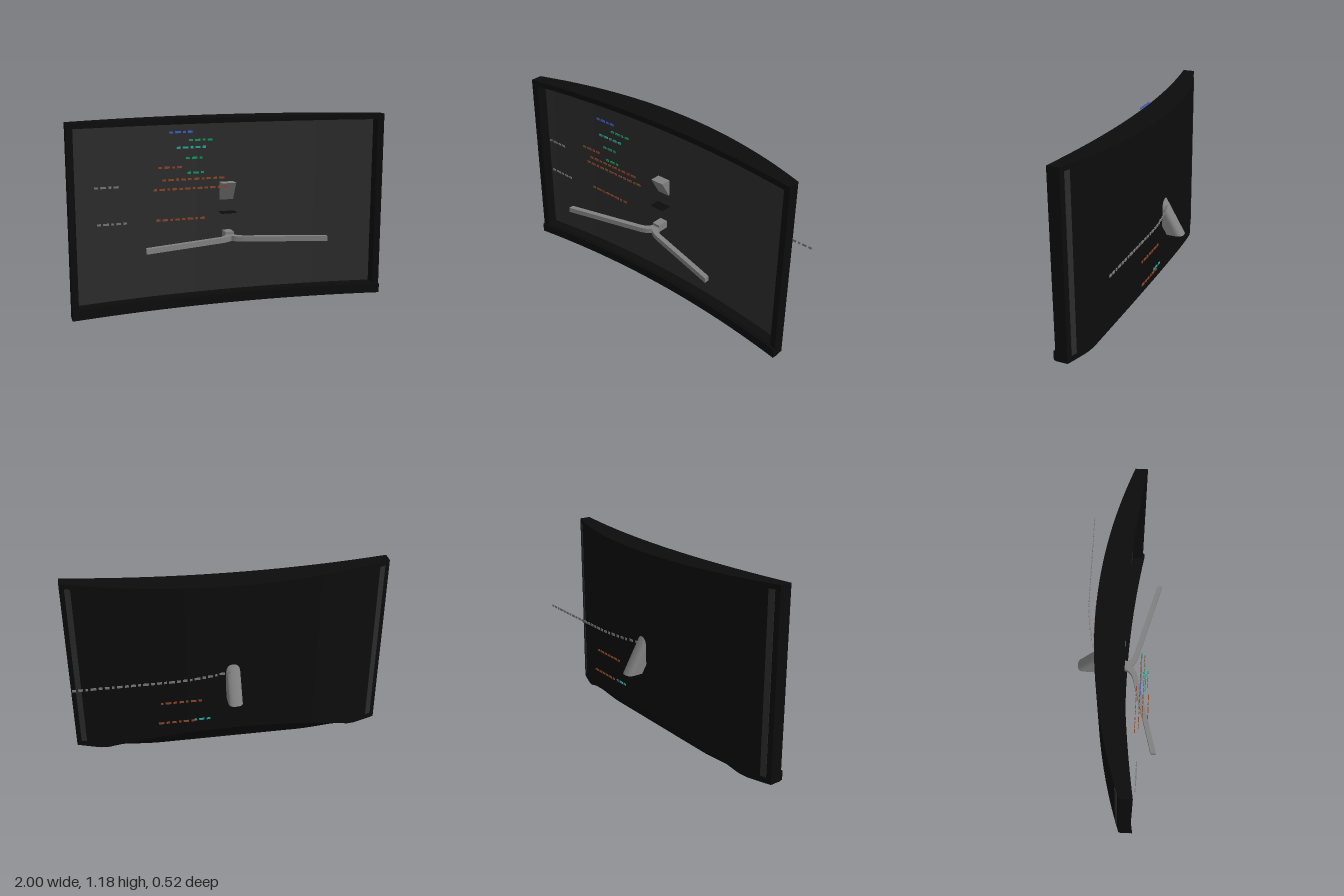
import * as THREE from 'three';

// Depth of the curved front and back at a given x
const front = (x) => 0.04 + 0.085 * x * x;
const back = (x) => -0.135 + 0.185 * x * x;
const inset = (x) => front(x) - 0.07;
// Sloping cut along the lower back edge
const cutY = (z) => Math.max(0, (-0.01 - z) * 1.29);

const material = (color) => new THREE.MeshStandardMaterial({ color, side: THREE.DoubleSide });
const black = material(0x0c0c0c);
const dark = material(0x2c2c2c);
const grey = material(0x808080);

function add(group, name, geometry, mat) {
  const mesh = new THREE.Mesh(geometry, mat);
  mesh.name = name;
  group.add(mesh);
  return mesh;
}

// Box bent so that its front and back follow two depth curves
function slab([x0, x1], [y0, y1], zFront, zBack, adjust) {
  const segments = Math.max(1, Math.round((x1 - x0) * 20));
  const g = new THREE.BoxGeometry(x1 - x0, y1 - y0, 1, segments, 1, 1);
  g.translate((x0 + x1) / 2, (y0 + y1) / 2, 0);
  const p = g.attributes.position;
  for (let i = 0; i < p.count; i++) {
    const x = p.getX(i);
    const v = { y: p.getY(i), z: p.getZ(i) > 0 ? zFront(x) : zBack(x), isBack: p.getZ(i) < 0 };
    if (adjust) adjust(v);
    p.setXYZ(i, x, v.y, v.z);
  }
  g.computeVertexNormals();
  return g;
}

// Extrude an outline drawn in x and z downwards from the height top
function extrudeDown(shape, top, depth) {
  const g = new THREE.ExtrudeGeometry(shape, { depth, bevelEnabled: false, curveSegments: 10 });
  return g.rotateX(Math.PI / 2).translate(0, top, 0);
}

function buildScreen() {
  const g = new THREE.Group();
  g.name = 'display';
  // Rear shell with its sloping lower edge
  add(g, 'rearShell', slab([-1, 1], [0, 1.18], inset, back, (v) => {
    if (v.y < 0.01) v.y = cutY(v.z);
  }), black);
  // Bezel bars around the recessed panel
  add(g, 'topBezel', slab([-1, 1], [1.145, 1.18], front, inset), black);
  add(g, 'bottomBezel', slab([-1, 1], [0, 0.07], front, inset, (v) => {
    if (v.isBack && v.y < 0.01) v.z = Math.max(v.z, -0.01);
  }), black);
  add(g, 'chin', slab([-1, 1], [0.004, 0.064], (x) => front(x) + 0.012, (x) => front(x) - 0.01), black);
  for (const s of [-1, 1]) {
    const range = (a, b) => (s > 0 ? [a, b] : [-b, -a]);
    add(g, 'sideBezel', slab(range(0.96, 1), [0.07, 1.145], front, inset), black);
    add(g, 'rearStrip', slab(range(0.935, 0.97), [0.04, 1.15], inset, (x) => back(x) - 0.003), dark);
  }
  add(g, 'panel', slab([-0.962, 0.962], [0.068, 1.147], (x) => inset(x) + 0.003, (x) => inset(x) - 0.003), dark);
  return g;
}

function buildStand() {
  const g = new THREE.Group();
  g.name = 'stand';
  // Leaning neck: square at the front, rounded at the rear
  const neck = new THREE.Shape();
  neck.moveTo(0.045, -0.165);
  neck.lineTo(-0.045, -0.165);
  neck.lineTo(-0.045, -0.225);
  neck.quadraticCurveTo(-0.045, -0.265, 0, -0.265);
  neck.quadraticCurveTo(0.045, -0.265, 0.045, -0.225);
  const neckGeometry = extrudeDown(neck, 0.77, 0.355);
  const p = neckGeometry.attributes.position;
  for (let i = 0; i < p.count; i++) p.setZ(i, p.getZ(i) + (p.getY(i) - 0.415) / 1.74);
  neckGeometry.computeVertexNormals();
  add(g, 'neck', neckGeometry, grey);

  // Forked foot
  const foot = new THREE.Shape();
  foot.moveTo(-0.027, -0.04);
  foot.lineTo(-0.027, 0.035);
  foot.quadraticCurveTo(-0.03, 0.08, -0.09, 0.097);
  foot.lineTo(-0.57, 0.228);
  foot.lineTo(-0.57, 0.26);
  foot.lineTo(-0.08, 0.128);
  foot.quadraticCurveTo(-0.02, 0.11, 0, 0.085);
  foot.quadraticCurveTo(0.02, 0.11, 0.08, 0.128);
  foot.lineTo(0.57, 0.26);
  foot.lineTo(0.57, 0.228);
  foot.lineTo(0.09, 0.097);
  foot.quadraticCurveTo(0.03, 0.08, 0.027, 0.035);
  foot.lineTo(0.027, -0.04);
  add(g, 'foot', extrudeDown(foot, 0.445, 0.032), grey);
  const stem = new THREE.BoxGeometry(0.054, 0.03, 0.085);
  add(g, 'footStem', stem.translate(0, 0.447, 0.005), grey);
  // Thin ledge below the neck
  const ledge = new THREE.BoxGeometry(0.1, 0.003, 0.08);
  add(g, 'ledge', ledge.translate(0, 0.58, 0), black);
  return g;
}

// Broken row of small plain bars along a depth curve
function dashes(group, color, [x0, x1], y, depth, height = 0.014) {
  const mat = material(color);
  const lengths = [0.022, 0.034, 0.016, 0.028];
  let x = x0;
  for (let i = 0; x < x1; i++) {
    const w = lengths[i % lengths.length];
    const bar = add(group, 'dash', new THREE.BoxGeometry(w, height, 0.005), mat);
    bar.position.set(x + w / 2, y, depth(x));
    x += w + 0.014;
  }
}

function buildDashes() {
  const g = new THREE.Group();
  g.name = 'floatingDashes';
  const blue = 0x3a5fcd, teal = 0x26a69a, green = 0x0f9b5f, rust = 0x8a4526, pale = 0x777777;
  const rows = [
    [blue, -0.4, -0.28, 1.11, 0.14], [green, -0.28, -0.14, 1.06, 0.14], [teal, -0.36, -0.2, 1.02, 0.16],
    [green, -0.31, -0.2, 0.96, 0.18], [rust, -0.48, -0.36, 0.91, 0.19], [green, -0.3, -0.2, 0.87, 0.17],
    [rust, -0.45, -0.1, 0.83, 0.16], [rust, -0.5, -0.05, 0.77, 0.14], [rust, -0.48, -0.2, 0.58, 0.12],
    [pale, -0.84, -0.68, 0.58, 0.14], [pale, -0.85, -0.7, 0.8, 0.14],
    [rust, 0.2, 0.45, 0.42, -0.17], [rust, 0.25, 0.45, 0.28, -0.18], [teal, 0.15, 0.25, 0.27, -0.16],
  ];
  for (const [color, x0, x1, y, z] of rows) dashes(g, color, [x0, x1], y, () => z, 0.012);
  // Long row trailing behind the display
  dashes(g, pale, [0.02, 0.97], 0.6, (x) => -0.21 + 0.06 * Math.max(0, 1 - x / 0.4) ** 2);
  return g;
}

export function createModel() {
  const model = new THREE.Group();
  model.name = 'curvedMonitor';
  model.add(buildScreen(), buildStand(), buildDashes());
  return model;
}
